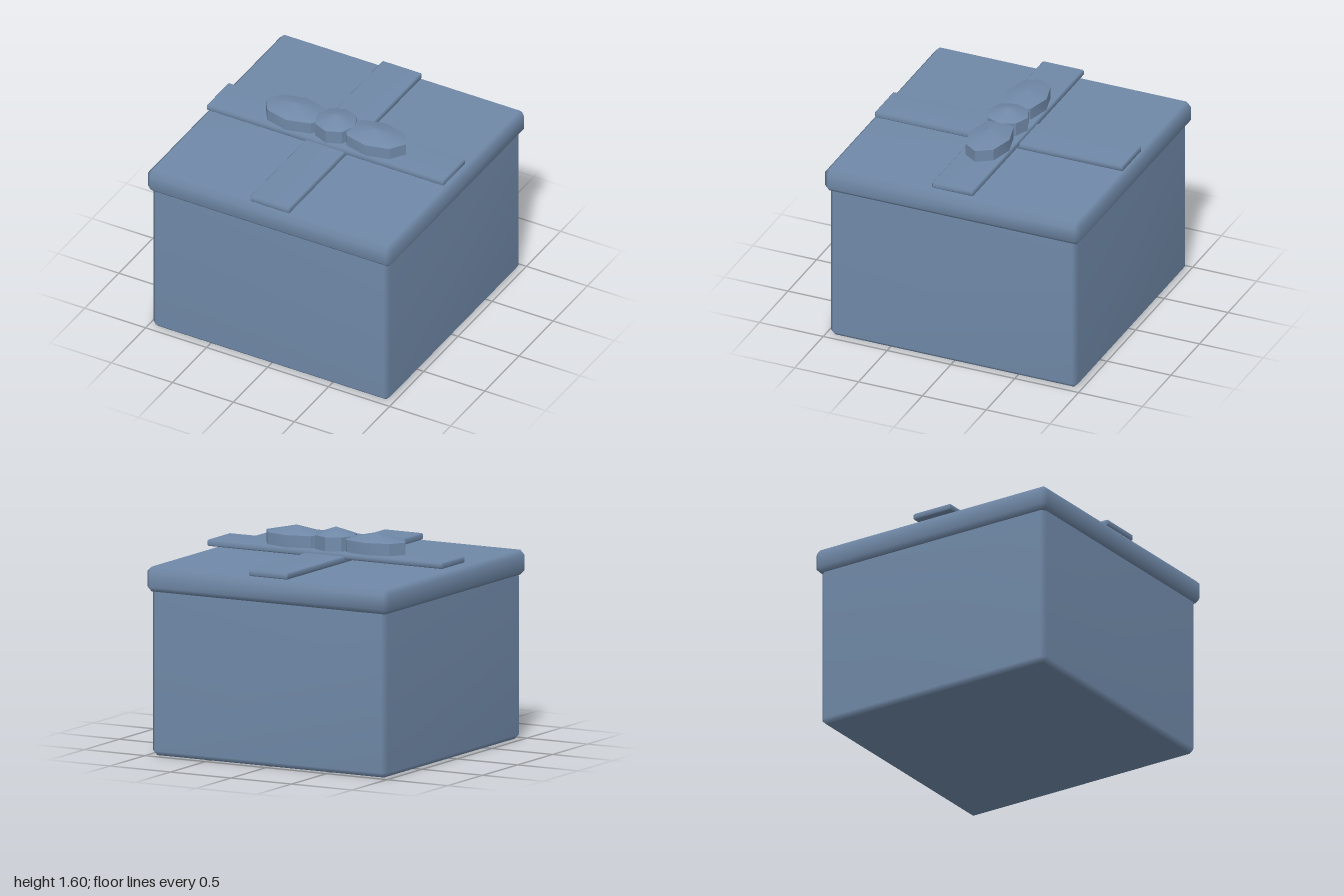
import * as THREE from 'three';
import { mergeVertices, toCreasedNormals } from 'three/addons/utils/BufferGeometryUtils.js';
import { ConvexGeometry } from 'three/addons/geometries/ConvexGeometry.js';

// Box with every edge cut by a chamfer c, shaded smoothly
function chamferBox(w, h, d, c) {
  const half = [w / 2, h / 2, d / 2];
  const points = [];
  for (const sx of [-1, 1]) for (const sy of [-1, 1]) for (const sz of [-1, 1]) {
    for (let axis = 0; axis < 3; axis++) {
      // only the face axis reaches the full half size
      const p = half.map((v, i) => (i === axis ? v : v - c));
      points.push(new THREE.Vector3(sx * p[0], sy * p[1], sz * p[2]));
    }
  }
  const hull = new ConvexGeometry(points);
  hull.deleteAttribute('normal');
  const geometry = mergeVertices(hull, 1e-4);
  geometry.computeVertexNormals();
  return geometry;
}

export function createModel() {
  const group = new THREE.Group();
  group.name = 'giftBox';
  const blue = new THREE.MeshStandardMaterial({ color: 0x7089a8 });
  blue.name = 'slateBlue';

  const add = (name, geometry, x, y, z) => {
    const mesh = new THREE.Mesh(geometry, blue);
    mesh.name = name;
    mesh.position.set(x, y, z);
    group.add(mesh);
  };
  // Chamfered box placed between two heights
  const addBox = (name, w, y0, y1, d, c) =>
    add(name, chamferBox(w, y1 - y0, d, c), 0, (y0 + y1) / 2, 0);

  // Box and lid
  addBox('boxBody', 1.94, 0, 1.22, 1.94, 0.035);
  addBox('lid', 2, 1.19, 1.37, 2, 0.035);

  // Crossed ribbons
  addBox('lengthwiseRibbon', 0.325, 1.373, 1.42, 1.945, 0.009);
  addBox('crosswiseRibbon', 1.945, 1.398, 1.444, 0.325, 0.009);

  // Bow: squashed eight-sided balls
  const ball = (rx, ry, rz) =>
    toCreasedNormals(new THREE.SphereGeometry(1, 8, 3).scale(rx, ry, rz), 0.55);
  for (const side of [-1, 1]) {
    add(side > 0 ? 'leftBowLoop' : 'rightBowLoop', ball(0.288, 0.108, 0.18), side * 0.325, 1.478, 0);
  }
  add('bowKnot', ball(0.18, 0.11, 0.18), 0, 1.49, 0);

  return group;
}
